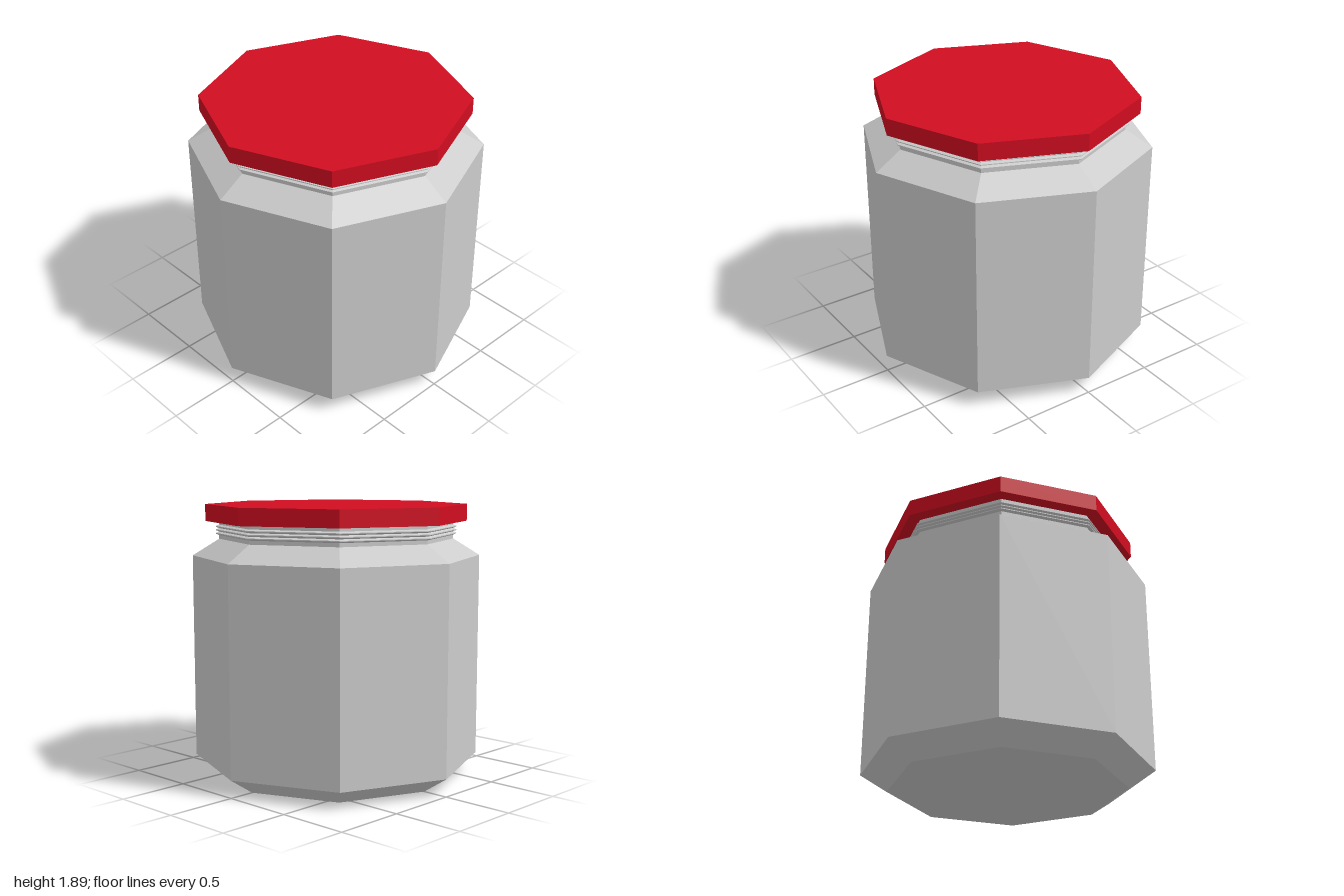
import * as THREE from 'three';

const SIDES = 8;

// Revolves a [radius, height] profile, listed bottom to top, into a faceted octagonal part
function turned(name, profile, material) {
  const points = profile.map(([r, y]) => new THREE.Vector2(r, y));
  const mesh = new THREE.Mesh(new THREE.LatheGeometry(points, SIDES), material);
  mesh.name = name;
  return mesh;
}

export function createModel() {
  const jar = new THREE.Group();
  jar.name = 'jar';
  const grey = new THREE.MeshStandardMaterial({ color: 0xcccccc, flatShading: true });
  const red = new THREE.MeshStandardMaterial({ color: 0xd00d20, flatShading: true });

  // Body with bevelled base and sloping shoulder
  jar.add(turned('body', [[0, 0], [0.815, 0], [1, 0.12], [1, 1.54], [0.815, 1.655]], grey));

  // Neck rising into the lid
  const neckRadius = 0.815;
  jar.add(turned('neck', [[neckRadius, 1.655], [neckRadius, 1.78]], grey));

  // Three pointed screw ridges around the neck
  const threads = new THREE.Group();
  threads.name = 'threads';
  for (let i = 0; i < 3; i++) {
    const y = 1.693 + i * 0.024;
    threads.add(turned('threadRidge', [
      [neckRadius, y - 0.012], [0.836, y - 0.003], [0.836, y + 0.003], [neckRadius, y + 0.012],
    ], grey));
  }
  jar.add(threads);

  // Flat lid
  jar.add(turned('lid', [[0, 1.778], [0.908, 1.778], [0.908, 1.895], [0, 1.895]], red));

  return jar;
}
